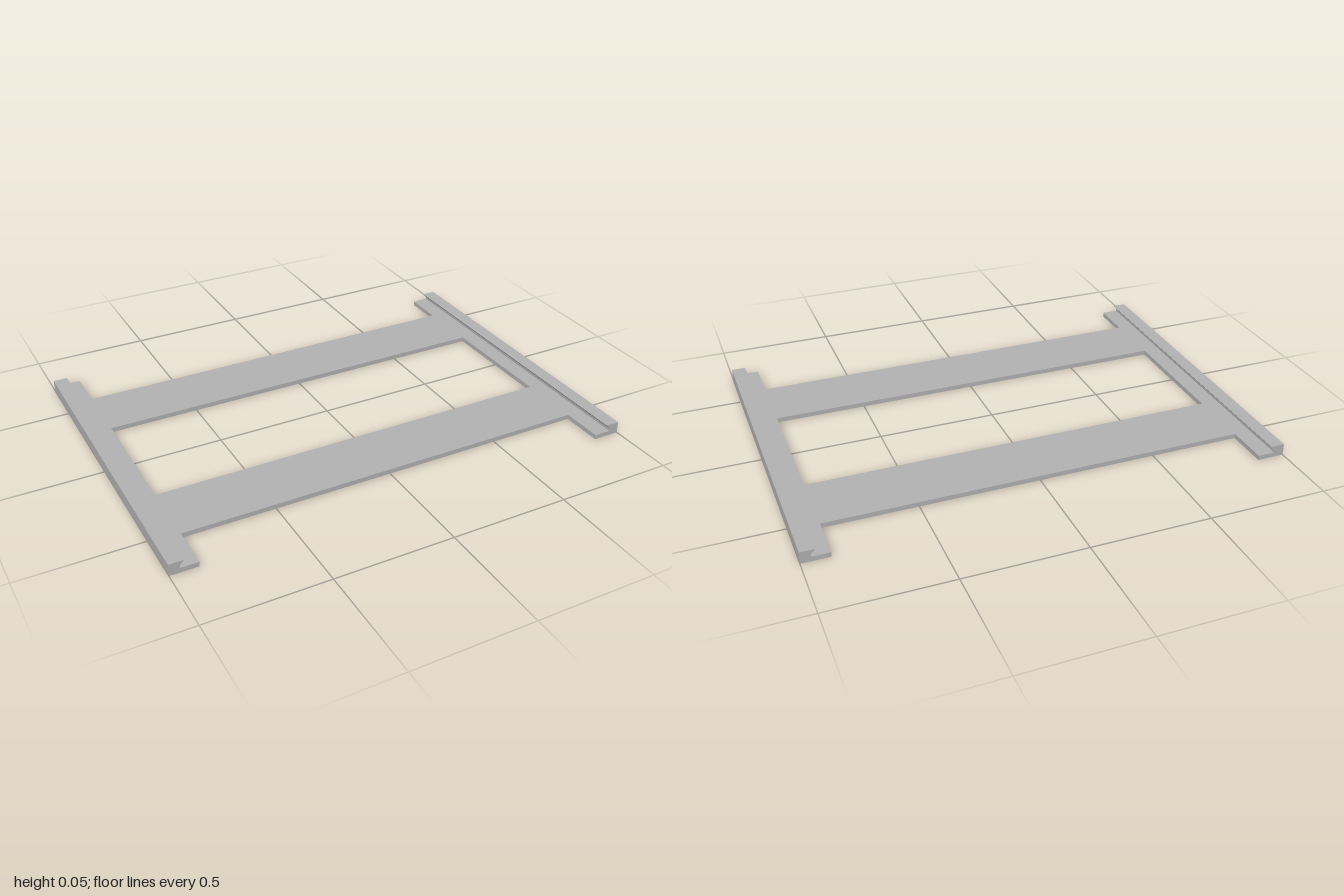
import * as THREE from 'three';

const LENGTH = 1.44;  // rail length along z
const PLATE = 0.02;   // plate thickness
const INNER = 0.885;  // inner edge of the rail foot

export function createModel() {
  const group = new THREE.Group();
  group.name = 'slidingFrame';
  const grey = new THREE.MeshStandardMaterial({ color: 0xb2b2b2 });
  grey.name = 'grey';

  // Side rails: flat foot, upright wall and an undercut lip facing inwards
  const profile = [
    [1, 0], [1, 0.05], [0.94, 0.05], [0.957, 0.032],
    [0.957, PLATE], [INNER, PLATE], [INNER, 0],
  ];
  for (const side of [1, -1]) {
    const shape = new THREE.Shape(profile.map(([x, y]) => new THREE.Vector2(side * x, y)));
    const geometry = new THREE.ExtrudeGeometry(shape, { depth: LENGTH, bevelEnabled: false });
    geometry.translate(0, 0, -LENGTH / 2);
    const rail = new THREE.Mesh(geometry, grey);
    rail.name = side > 0 ? 'leftRail' : 'rightRail';
    group.add(rail);
  }

  // Flat cross bars joining the rails
  for (const side of [1, -1]) {
    const bar = new THREE.Mesh(new THREE.BoxGeometry(2 * INNER, PLATE, 0.27), grey);
    bar.position.set(0, PLATE / 2, side * 0.404);
    bar.name = side > 0 ? 'frontCrossBar' : 'backCrossBar';
    group.add(bar);
  }
  return group;
}
